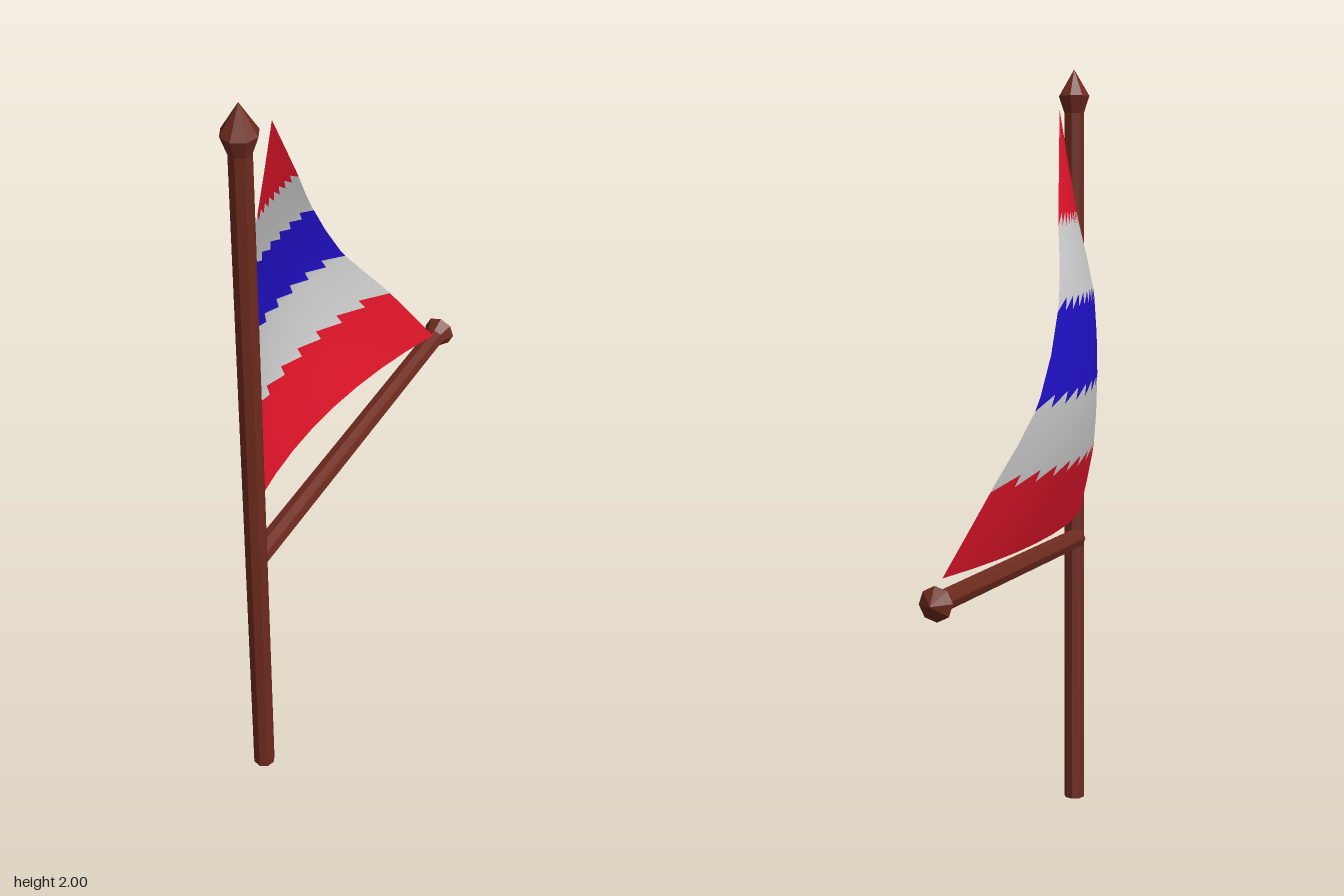
import * as THREE from 'three';

const V = (x, y, z) => new THREE.Vector3(x, y, z);

// Faceted pole with a pointed knob, turned around the line from a to b
function pole(name, a, b, radius, knobRadius, tip, neck) {
  const length = a.distanceTo(b);
  const profile = [
    [0, 0], [radius, 0], [radius * 0.95, length - tip - neck],
    [knobRadius, length - tip], [0, length],
  ].map(([r, y]) => new THREE.Vector2(r, y));
  const mesh = new THREE.Mesh(
    new THREE.LatheGeometry(profile, 8),
    new THREE.MeshStandardMaterial({ color: 0x6e2a1e, flatShading: true })
  );
  mesh.name = name;
  mesh.position.copy(a);
  mesh.quaternion.setFromUnitVectors(V(0, 1, 0), b.clone().sub(a).normalize());
  return mesh;
}

// Sail sections from foot to head: [luff x, y, z], [leech x, y, z], belly depth
const SECTIONS = [
  [[-0.035, 0.83, 0.37], [0.09, 0.81, -0.43], 0.05],
  [[-0.075, 1.01, 0.355], [0.0, 1.01, -0.315], 0.055],
  [[-0.085, 1.2, 0.35], [-0.07, 1.185, -0.19], 0.043],
  [[-0.075, 1.42, 0.35], [-0.08, 1.41, -0.035], 0.018],
  [[-0.03, 1.615, 0.353], [-0.035, 1.61, 0.135], 0.008],
  [[0.025, 1.89, 0.375], [0.025, 1.89, 0.375], 0],
];
const luff = new THREE.CatmullRomCurve3(SECTIONS.map((s) => V(...s[0])));
const leech = new THREE.CatmullRomCurve3(SECTIONS.map((s) => V(...s[1])));
const belly = new THREE.CatmullRomCurve3(SECTIONS.map((s) => V(s[2], 0, 0)));

function sailPoint(u, v) {
  const p = luff.getPoint(v).lerp(leech.getPoint(v), u);
  p.x -= belly.getPoint(v).x * 4 * u * (1 - u);
  return p;
}

function createSail() {
  const COLUMNS = 8;
  const bands = SECTIONS.length - 1;
  const tooth = 0.075; // half height of the stepped seam, in section units
  const stripes = ['red', 'white', 'blue', 'white', 'red'];
  const colors = { red: 0xdc1428, white: 0xcccccc, blue: 0x2010c4 };
  const faces = { red: [], white: [], blue: [] };

  // Row heights: plain rows inside each stripe, a thin row across each seam
  const rows = [];
  for (let i = 0; i < bands; i++) {
    const low = i === 0 ? 0 : i + tooth;
    const high = i === bands - 1 ? bands : i + 1 - tooth;
    for (let k = 0; k <= 2; k++) {
      rows.push({ v: THREE.MathUtils.lerp(low, high, k / 2) / bands, stripe: i });
    }
  }

  const positions = [];
  for (const row of rows) {
    for (let c = 0; c <= COLUMNS; c++) positions.push(...sailPoint(c / COLUMNS, row.v).toArray());
  }

  // On a seam row the two triangles of a cell take different stripe colours
  const all = [];
  for (let r = 0; r < rows.length - 1; r++) {
    for (let c = 0; c < COLUMNS; c++) {
      const a = r * (COLUMNS + 1) + c;
      const d = a + COLUMNS + 1;
      const lower = [a, a + 1, d];
      const upper = [a + 1, d + 1, d];
      faces[stripes[rows[r].stripe]].push(...lower);
      faces[stripes[rows[r + 1].stripe]].push(...upper);
      all.push(...lower, ...upper);
    }
  }

  // Normals come from the whole cloth so the stripes blend smoothly
  const cloth = new THREE.BufferGeometry();
  cloth.setAttribute('position', new THREE.Float32BufferAttribute(positions, 3));
  cloth.setIndex(all);
  cloth.computeVertexNormals();

  const sail = new THREE.Group();
  sail.name = 'sail';
  for (const key of Object.keys(faces)) {
    const geometry = cloth.clone();
    geometry.setIndex(faces[key]);
    const mesh = new THREE.Mesh(
      geometry,
      new THREE.MeshStandardMaterial({ color: colors[key], side: THREE.DoubleSide })
    );
    mesh.name = key + 'Stripes';
    sail.add(mesh);
  }
  return sail;
}

export function createModel() {
  const model = new THREE.Group();
  model.name = 'mastAndSail';
  model.add(
    pole('mast', V(0, 0, 0.463), V(0.02, 2, 0.509), 0.028, 0.042, 0.07, 0.045),
    pole('boom', V(0.002, 0.735, 0.475), V(0.082, 0.77, -0.545), 0.028, 0.042, 0.035, 0.035),
    createSail()
  );
  return model;
}
